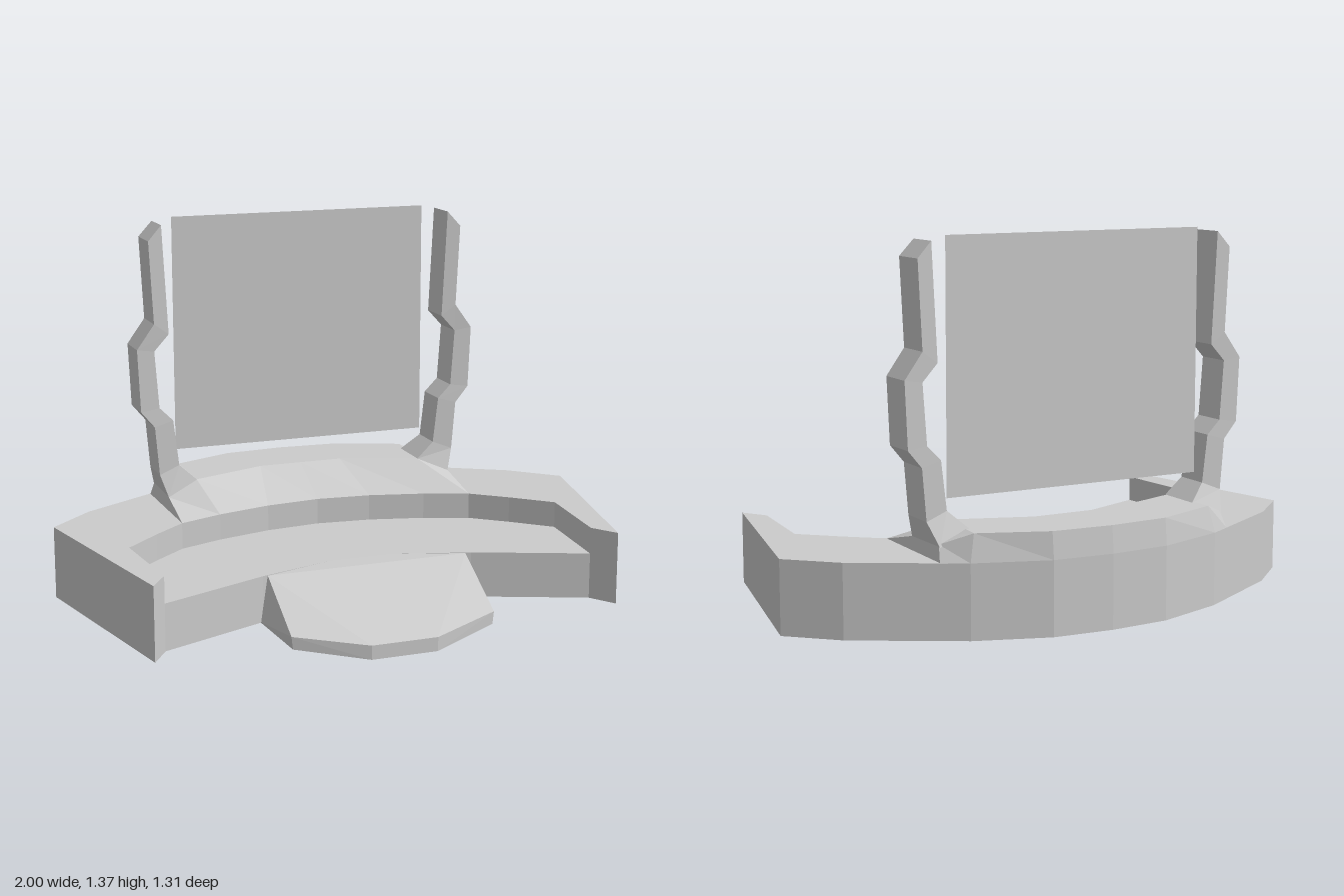
import * as THREE from 'three';
import { ConvexGeometry } from 'three/addons/geometries/ConvexGeometry.js';

const material = new THREE.MeshStandardMaterial({ color: 0xcccccc, flatShading: true });
const sheetMaterial = new THREE.MeshStandardMaterial({ color: 0xcccccc, flatShading: true, side: THREE.DoubleSide });

// Half outlines in [x, z], from the centre line outwards
const BACK = [[0, -0.655], [0.22, -0.64], [0.48, -0.55], [0.84, -0.34], [1, -0.19]];
const INNER = [[0, -0.21], [0.2, -0.19], [0.4, -0.14], [0.56, -0.08], [0.68, 0.02], [0.81, 0.14], [0.78, 0.48]];
const FRONT = [[0, 0.24], [0.12, 0.24], [0.39, 0.32], [0.78, 0.48]];
const TIP = [0.84, 0.57];

// Mirrored slab between two heights; half runs from x = 0 round to x = 0
function slab(half, y0, y1) {
  const mirrored = half.filter(([x]) => x > 0).reverse().map(([x, z]) => [-x, z]);
  const shape = new THREE.Shape([...half, ...mirrored].map(([x, z]) => new THREE.Vector2(x, -z)));
  return new THREE.ExtrudeGeometry(shape, { depth: y1 - y0, bevelEnabled: false })
    .rotateX(-Math.PI / 2).translate(0, y0, 0);
}

// Skin over four-cornered cross-sections, with both ends capped
function loft(rings) {
  const positions = [];
  const quad = (a, b, c, d) => positions.push(...a, ...b, ...c, ...a, ...c, ...d);
  for (let i = 0; i < rings.length - 1; i++) {
    for (let j = 0; j < 4; j++) {
      const k = (j + 1) % 4;
      quad(rings[i][j], rings[i][k], rings[i + 1][k], rings[i + 1][j]);
    }
  }
  quad(...[...rings[0]].reverse());
  quad(...rings[rings.length - 1]);
  const geometry = new THREE.BufferGeometry();
  geometry.setAttribute('position', new THREE.Float32BufferAttribute(positions, 3));
  geometry.computeVertexNormals();
  return geometry;
}

// Raised hump behind the desk; each section is back top, crest, front, back bottom
function ridgeGeometry() {
  const half = [
    [[0, 0.41, -0.645], [0, 0.41, -0.4], [0, 0.315, -0.21], [0, 0.315, -0.655]],
    [[0.22, 0.41, -0.63], [0.16, 0.41, -0.4], [0.2, 0.315, -0.19], [0.22, 0.315, -0.64]],
    [[0.46, 0.41, -0.535], [0.44, 0.41, -0.3], [0.4, 0.315, -0.14], [0.48, 0.315, -0.55]],
    [[0.555, 0.37, -0.47], [0.555, 0.36, -0.27], [0.56, 0.315, -0.08], [0.565, 0.315, -0.497]],
  ];
  const mirrored = half.slice(1).reverse().map(ring => ring.map(([x, y, z]) => [-x, y, z]));
  return loft([...mirrored, ...half]);
}

// Crooked post; rows are inner x, y, outer x, y
function postGeometry(side) {
  const rows = [
    [0.44, 0.41, 0.555, 0.36],
    [0.505, 0.47, 0.58, 0.44],
    [0.525, 0.64, 0.595, 0.62],
    [0.575, 0.69, 0.645, 0.68],
    [0.59, 0.9, 0.655, 0.91],
    [0.535, 0.96, 0.59, 1.0],
    [0.555, 1.355, 0.605, 1.3],
  ];
  return loft(rows.map(([xi, yi, xo, yo], i) => {
    // The foot flares in depth
    const [fi, fo, bo, bi] = i === 0 ? [-0.295, -0.27, -0.48, -0.465] : [-0.3, -0.295, -0.432, -0.43];
    const ring = [[side * xi, yi, fi], [side * xo, yo, fo], [side * xo, yo, bo], [side * xi, yi, bi]];
    return side > 0 ? ring : ring.reverse();
  }));
}

// Sloping tongue in front, with an underside that fades into the base
function tongueGeometry() {
  const points = [new THREE.Vector3(0, 0.055, -0.13)];
  for (const s of [-1, 1]) {
    for (const [x, y, z] of [
      [0.12, 0.22, 0.24], [0.37, 0.218, 0.315], [0.37, 0.08, 0.56], [0.12, 0.05, 0.655],
      [0.4, 0.055, 0.31], [0.365, 0.035, 0.56], [0.12, 0, 0.655],
    ]) points.push(new THREE.Vector3(s * x, y, z));
  }
  return new ConvexGeometry(points);
}

export function createModel() {
  const model = new THREE.Group();
  model.name = 'consoleDesk';
  const add = (name, geometry, mat = material) => {
    const mesh = new THREE.Mesh(geometry, mat);
    mesh.name = name;
    model.add(mesh);
    return mesh;
  };

  // Desk body and the raised rim around its back and arms
  add('deskBody', slab([...BACK, TIP, ...[...FRONT].reverse()], 0.055, 0.22));
  add('deskRim', slab([...BACK, TIP, ...[...INNER].reverse()], 0.22, 0.315));
  add('ridge', ridgeGeometry());
  add('frontTongue', tongueGeometry());

  // Thin screen between two posts
  add('screen', new THREE.PlaneGeometry(0.98, 0.865), sheetMaterial).position.set(0, 0.9375, -0.4);
  add('leftPost', postGeometry(1));
  add('rightPost', postGeometry(-1));

  return model;
}
